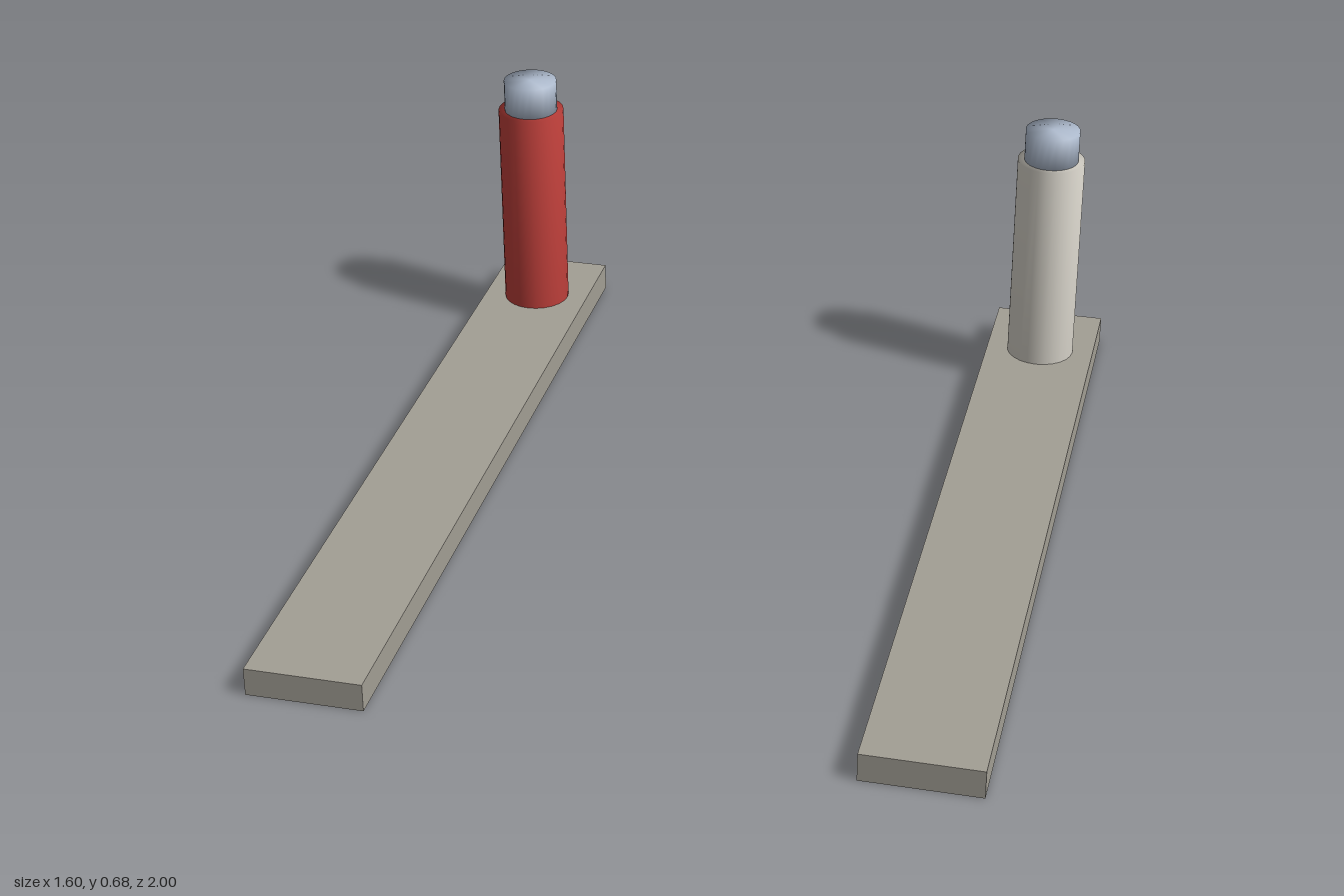
import * as THREE from 'three';
import { mergeVertices } from 'three/addons/utils/BufferGeometryUtils.js';

const paint = (name, color) => {
  const m = new THREE.MeshStandardMaterial({ color });
  m.name = name;
  return m;
};

// Cylinder whose normals blend softly over the rims
function softCylinder(radius, height) {
  const g = new THREE.CylinderGeometry(radius, radius, height, 24);
  g.deleteAttribute('normal');
  g.deleteAttribute('uv');
  const merged = mergeVertices(g, 1e-4);
  merged.computeVertexNormals();
  return merged;
}

export function createModel() {
  const group = new THREE.Group();
  const stone = paint('stone grey', 0xa39f95);
  const red = paint('red', 0xc5423d);
  const cream = paint('cream', 0xdedad0);
  const lampGlass = paint('pale blue', 0xb0bdd0);

  const add = (parent, name, geometry, material, y, z) => {
    const mesh = new THREE.Mesh(geometry, material);
    mesh.name = name;
    mesh.position.set(0, y, z);
    parent.add(mesh);
  };

  const slabGeo = new THREE.BoxGeometry(0.267, 0.067, 2);
  const towerGeo = softCylinder(0.083, 0.533);
  const lampGeo = softCylinder(0.067, 0.08);

  // Two long piers, each with a beacon tower near the back end
  for (const [side, x, color] of [['right', -0.667, red], ['left', 0.667, cream]]) {
    const pier = new THREE.Group();
    pier.name = side + 'Pier';
    pier.position.x = x;
    add(pier, side + 'Slab', slabGeo, stone, 0.0335, 0);
    add(pier, side + 'Tower', towerGeo, color, 0.3335, -0.8);
    add(pier, side + 'Lamp', lampGeo, lampGlass, 0.64, -0.8);
    group.add(pier);
  }
  return group;
}
